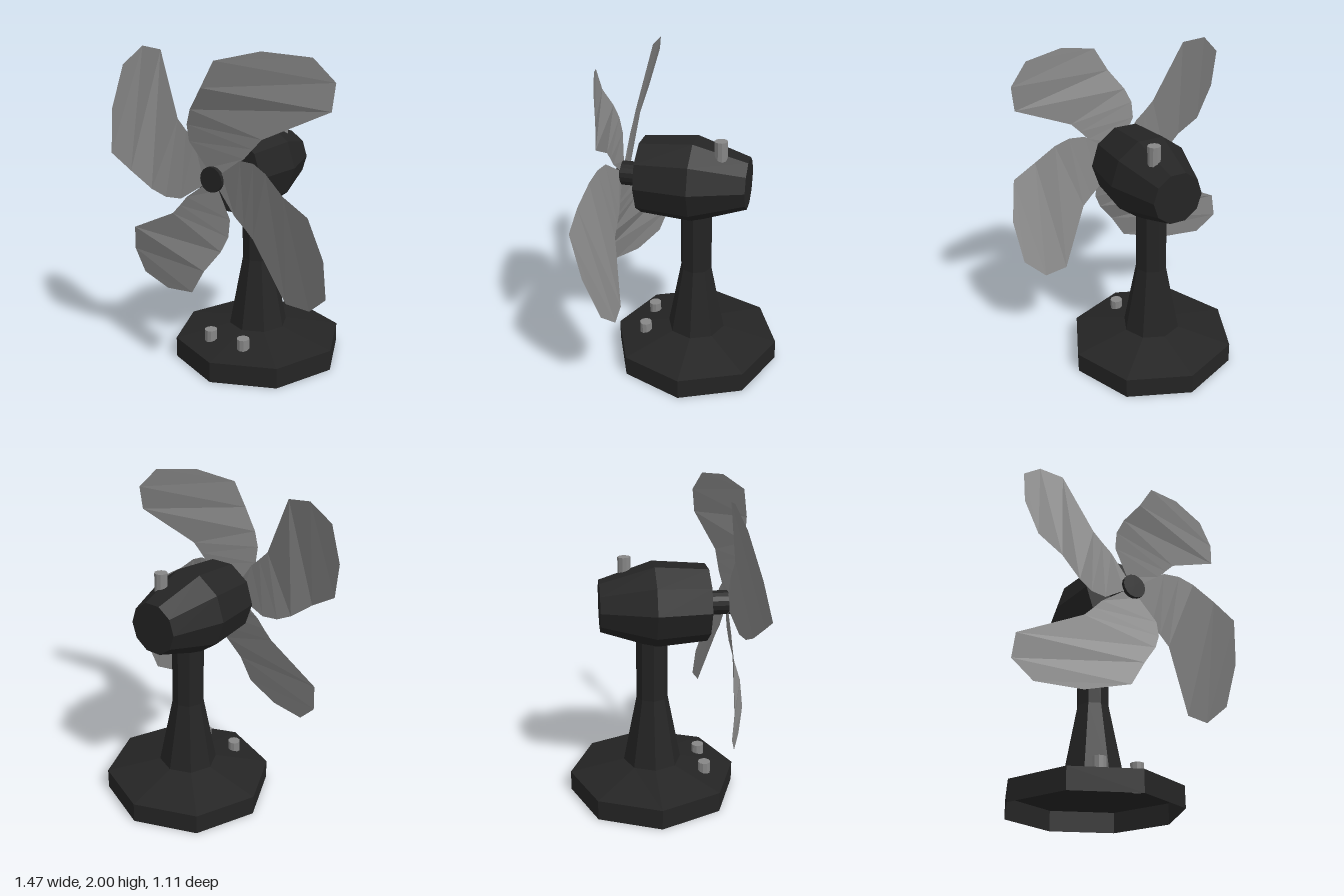
import * as THREE from 'three';

const black = new THREE.MeshStandardMaterial({ color: 0x242424, flatShading: true, side: THREE.DoubleSide });
black.name = 'black plastic';
const grey = new THREE.MeshStandardMaterial({ color: 0x868686, flatShading: true, side: THREE.DoubleSide });
grey.name = 'grey plastic';

const AXIS_Y = 1.26; // height of the fan's axle

function add(parent, name, geometry, material, x = 0, y = 0, z = 0) {
  const mesh = new THREE.Mesh(geometry, material);
  mesh.name = name;
  mesh.position.set(x, y, z);
  parent.add(mesh);
  return mesh;
}

const lathe = (points, sides) =>
  new THREE.LatheGeometry(points.map(([r, h]) => new THREE.Vector2(r, h)), sides);

// One swept blade: a strip between its leading and trailing edges
function bladeGeometry() {
  const leading = [
    [-0.04, 0.06, 0.455], [-0.14, 0.21, 0.487], [-0.14, 0.31, 0.505], [-0.10, 0.40, 0.525],
    [0, 0.53, 0.556], [0.09, 0.68, 0.556], [0.34, 0.735, 0.477],
  ];
  const trailing = [
    [0.06, 0.04, 0.45], [0.205, 0.14, 0.44], [0.26, 0.20, 0.437], [0.32, 0.26, 0.435],
    [0.70, 0.435, 0.36], [0.715, 0.585, 0.348], [0.60, 0.71, 0.39],
  ];
  const index = [];
  const n = leading.length;
  for (let i = 0; i < n - 1; i++) {
    index.push(i, n + i, n + i + 1, i, n + i + 1, i + 1);
  }
  // Close the root towards the axle
  index.push(0, 2 * n, n);
  const geometry = new THREE.BufferGeometry();
  geometry.setAttribute('position',
    new THREE.Float32BufferAttribute([...leading, ...trailing, [0, 0, 0.45]].flat(), 3));
  geometry.setIndex(index);
  geometry.computeVertexNormals();
  return geometry;
}

export function createModel() {
  const fan = new THREE.Group();
  fan.name = 'deskFan';

  // Hollow octagonal base running up into the stem
  add(fan, 'baseAndStem', lathe([
    [0.538, 0], [0.538, 0.13], [0.187, 0.205], [0.1, 0.65], [0.1, 1.08],
  ], 8), black, 0, 0, -0.017);

  // Ten-sided motor housing, from the back cap to the front cap
  const housing = lathe([
    [0, -0.34], [0.16, -0.34], [0.266, -0.01], [0.24, 0.32], [0, 0.32],
  ], 10);
  housing.rotateY(Math.PI / 2);
  housing.rotateX(Math.PI / 2);
  add(fan, 'motorHousing', housing, black, 0, 1.265, 0);

  // Axle with the hub face in front of the blades
  const axle = new THREE.CylinderGeometry(0.075, 0.075, 0.17, 16);
  axle.rotateX(Math.PI / 2);
  add(fan, 'axle', axle, black, 0, AXIS_Y, 0.39);

  // Four blades
  const blades = new THREE.Group();
  blades.name = 'blades';
  blades.position.y = AXIS_Y;
  const blade = bladeGeometry();
  for (let i = 0; i < 4; i++) {
    add(blades, 'blade', blade, grey).rotation.z = -i * Math.PI / 2;
  }
  fan.add(blades);

  // Two control knobs on the base and one on the housing
  const knob = new THREE.CylinderGeometry(0.04, 0.04, 0.16, 10);
  add(fan, 'leftKnob', knob, grey, 0.1, 0.15, 0.305);
  add(fan, 'rightKnob', knob, grey, -0.145, 0.15, 0.305);
  add(fan, 'swivelKnob', knob, grey, 0.07, 1.47, -0.18);

  return fan;
}
